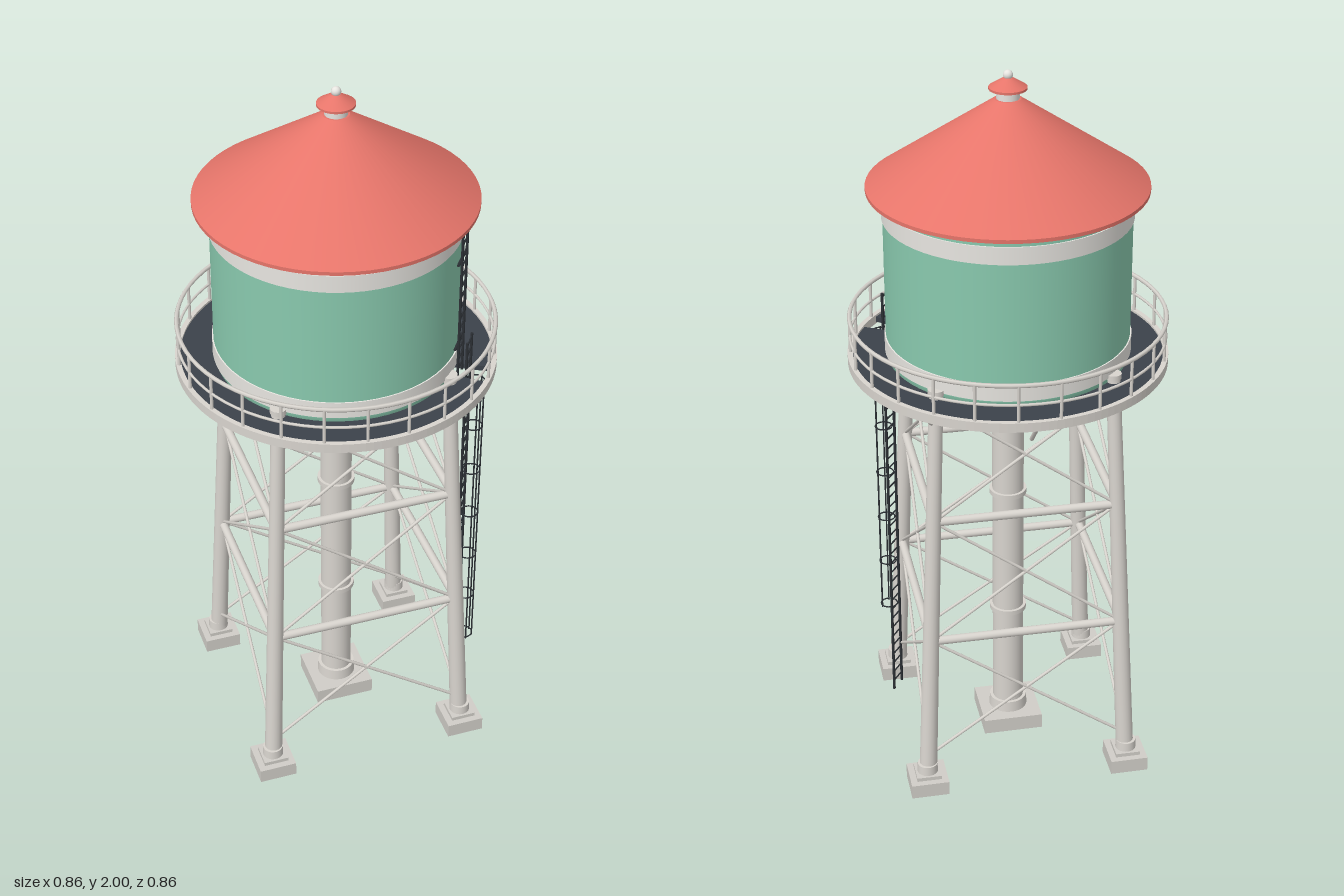
import * as THREE from 'three';

const mat = (name, color) => Object.assign(new THREE.MeshStandardMaterial({ color }), { name });

export function createModel() {
  const M = {
    roof: mat('roof red', 0xe6756a),
    tank: mat('tank green', 0x89c9ae),
    steel: mat('pale steel', 0xd8d4ce),
    trim: mat('trim white', 0xe8e6e1),
    deck: mat('deck slate', 0x3c424a),
    ladder: mat('ladder dark grey', 0x2c3035),
    concrete: mat('concrete grey', 0xd0cdc7),
  };
  const model = new THREE.Group();
  model.name = 'waterTower';
  const group = (name) => {
    const g = new THREE.Group();
    g.name = name;
    model.add(g);
    return g;
  };
  const add = (parent, name, geo, m, x = 0, y = 0, z = 0) => {
    const mesh = new THREE.Mesh(geo, m);
    mesh.name = name;
    mesh.position.set(x, y, z);
    parent.add(mesh);
    return mesh;
  };
  const V = (x, y, z) => new THREE.Vector3(x, y, z);
  const polar = (r, a, y) => V(r * Math.cos(a), y, r * Math.sin(a));
  const up = V(0, 1, 0);
  // Round bar between two points
  const bar = (parent, name, a, b, r0, m, r1 = r0, seg = 8) => {
    const d = b.clone().sub(a);
    const mesh = add(parent, name, new THREE.CylinderGeometry(r1, r0, d.length(), seg), m);
    mesh.position.copy(a).add(b).multiplyScalar(0.5);
    mesh.quaternion.setFromUnitVectors(up, d.normalize());
  };
  // Upright cylinder or cone between two heights
  const drum = (parent, name, r0, r1, y0, y1, m, x = 0, z = 0, seg = 64) =>
    add(parent, name, new THREE.CylinderGeometry(r1, r0, y1 - y0, seg), m, x, (y0 + y1) / 2, z);
  // Flat ring, optionally only part of a turn
  const ring = (parent, name, ri, ro, y0, y1, m, a0 = 0, a1 = Math.PI * 2) => {
    const s = new THREE.Shape();
    s.absarc(0, 0, ro, a0, a1, false);
    if (a1 - a0 > 6.28) {
      const hole = new THREE.Path();
      hole.absarc(0, 0, ri, a0, a1, true);
      s.holes.push(hole);
    } else s.absarc(0, 0, ri, a1, a0, true);
    const geo = new THREE.ExtrudeGeometry(s, { depth: y1 - y0, bevelEnabled: false, curveSegments: 64 });
    geo.rotateX(Math.PI / 2);
    add(parent, name, geo, m, 0, y1, 0);
  };
  const hoop = (parent, name, r, t, y, m, x = 0, z = 0, seg = 72) => {
    const geo = new THREE.TorusGeometry(r, t, 6, seg).rotateX(Math.PI / 2);
    add(parent, name, geo, m, x, y, z);
  };

  // Tank with shallow bowl bottom and painted bands
  const tank = group('tank');
  drum(tank, 'tankWall', 0.328, 0.328, 1.225, 1.69, M.tank);
  const bowl = [];
  for (let i = 0; i <= 14; i++) {
    const t = (i / 14) * Math.PI / 2;
    bowl.push(new THREE.Vector2(0.328 * Math.sin(t), 1.225 - 0.105 * Math.cos(t)));
  }
  add(tank, 'tankBowl', new THREE.LatheGeometry(bowl, 64), M.tank);
  for (const [y0, y1] of [[1.61, 1.658], [1.228, 1.275]])
    drum(tank, 'tankBand', 0.3315, 0.3315, y0, y1, M.trim);

  // Conical roof, vent cap and finial
  const roof = group('roof');
  drum(roof, 'roofEave', 0.371, 0.371, 1.685, 1.695, M.roof);
  drum(roof, 'roofCone', 0.371, 0.035, 1.695, 1.925, M.roof);
  drum(roof, 'ventNeck', 0.03, 0.03, 1.92, 1.953, M.trim, 0, 0, 32);
  drum(roof, 'ventLip', 0.05, 0.05, 1.95, 1.956, M.roof, 0, 0, 32);
  drum(roof, 'ventCap', 0.05, 0.012, 1.956, 1.98, M.roof, 0, 0, 32);
  add(roof, 'finial', new THREE.SphereGeometry(0.013, 20, 14), M.trim, 0, 1.987, 0);

  // Walkway with a ladder hatch, rim, railing and brackets
  const walkway = group('walkway');
  const rad = Math.PI / 180;
  ring(walkway, 'deck', 0.322, 0.425, 1.198, 1.213, M.deck, 39.5 * rad, 390 * rad);
  ring(walkway, 'deckRim', 0.418, 0.432, 1.193, 1.219, M.steel);
  hoop(walkway, 'topRail', 0.424, 0.006, 1.322, M.steel);
  hoop(walkway, 'midRail', 0.424, 0.004, 1.267, M.steel);
  for (let i = 0; i < 24; i++) {
    const a = (i + 0.5) * Math.PI / 12;
    bar(walkway, 'railPost', polar(0.424, a, 1.21), polar(0.424, a, 1.322), 0.0045, M.steel);
  }
  for (let i = 0; i < 8; i++) {
    const a = i * Math.PI / 4;
    bar(walkway, 'deckBracket', polar(0.32, a, 1.11), polar(0.41, a, 1.2), 0.006, M.steel);
  }

  // Four leaning legs on stepped footings
  const legs = group('legs');
  const legAt = (y) => 0.287 - 0.052 * (y / 1.23);
  const corners = [[1, 1], [-1, 1], [-1, -1], [1, -1]];
  const onLeg = ([sx, sz], y) => V(sx * legAt(y), y, sz * legAt(y));
  for (const c of corners) {
    const x = c[0] * 0.287, z = c[1] * 0.287;
    add(legs, 'footing', new THREE.BoxGeometry(0.106, 0.042, 0.106), M.concrete, x, 0.021, z);
    add(legs, 'footingStep', new THREE.BoxGeometry(0.07, 0.012, 0.07), M.concrete, x, 0.047, z);
    drum(legs, 'legCollar', 0.029, 0.028, 0.053, 0.08, M.steel, x, z, 24);
    bar(legs, 'leg', onLeg(c, 0.05), onLeg(c, 1.23), 0.025, M.steel, 0.019, 20);
    const top = onLeg(c, 1.228);
    drum(legs, 'legCap', 0.022, 0.022, 1.222, 1.236, M.steel, top.x, top.z, 20);
  }

  // Horizontal struts and crossed tie rods on each side
  const bracing = group('bracing');
  const levels = [0.1, 0.475, 0.845, 1.19];
  corners.forEach((a, i) => {
    const b = corners[(i + 1) % 4];
    for (const y of levels.slice(1, 3)) bar(bracing, 'strut', onLeg(a, y), onLeg(b, y), 0.012, M.steel, 0.012, 16);
    for (let k = 0; k < 3; k++) {
      bar(bracing, 'tieRod', onLeg(a, levels[k]), onLeg(b, levels[k + 1]), 0.0045, M.steel);
      bar(bracing, 'tieRod', onLeg(b, levels[k]), onLeg(a, levels[k + 1]), 0.0045, M.steel);
    }
  });

  // Central riser pipe
  const riser = group('riserPipe');
  add(riser, 'riserSlab', new THREE.BoxGeometry(0.17, 0.045, 0.17), M.concrete, 0, 0.0225, 0);
  drum(riser, 'riserBase', 0.055, 0.053, 0.045, 0.078, M.steel, 0, 0, 32);
  drum(riser, 'riser', 0.044, 0.044, 0.045, 1.145, M.steel, 0, 0, 32);
  for (const y of [0.39, 0.775]) drum(riser, 'riserFlange', 0.052, 0.052, y - 0.007, y + 0.007, M.steel, 0, 0, 32);

  // Ladder from ground to deck with safety cage, then up the tank wall
  const ladder = group('ladder');
  const A = 35 * rad;
  const tangent = V(-Math.sin(A), 0, Math.cos(A));
  const climb = (r, y0, y1, half) => {
    const at = (s, y) => polar(r, A, y).addScaledVector(tangent, s * half);
    for (const s of [-1, 1]) bar(ladder, 'ladderRail', at(s, y0), at(s, y1), 0.004, M.ladder);
    for (let y = y0 + 0.03; y < y1; y += 0.032) bar(ladder, 'rung', at(-1, y), at(1, y), 0.0025, M.ladder, 0.0025, 6);
  };
  climb(0.365, 0, 1.32, 0.025);
  climb(0.342, 1.2, 1.69, 0.025);
  for (const y of [1.3, 1.56]) {
    const p = polar(0.335, A, y);
    bar(ladder, 'wallBracket', p.clone().addScaledVector(tangent, -0.036), p.clone().addScaledVector(tangent, 0.036), 0.004, M.ladder);
  }
  const c = polar(0.386, A, 0);
  for (let i = 0; i < 7; i++) hoop(ladder, 'cageHoop', 0.024, 0.002, 0.29 + i * 0.15, M.ladder, c.x, c.z, 24);
  for (const a of [-60, 0, 60]) {
    const p = c.clone().add(polar(0.024, A + a * rad, 0));
    bar(ladder, 'cageBar', V(p.x, 0.285, p.z), V(p.x, 1.193, p.z), 0.0022, M.ladder, 0.0022, 6);
  }
  return model;
}
